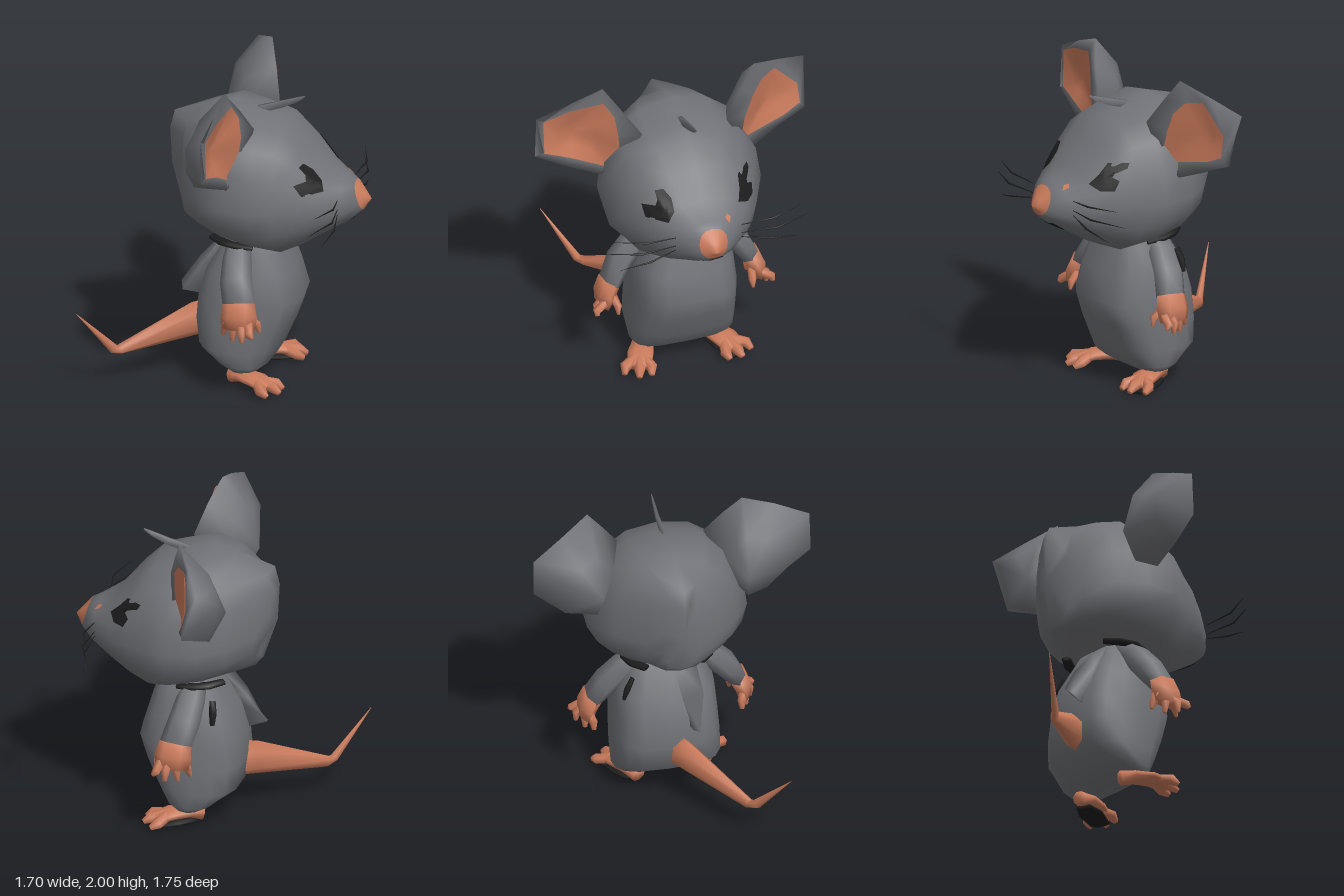
import * as THREE from 'three';

const fur = new THREE.MeshStandardMaterial({ color: 0x717277, side: THREE.DoubleSide });
const skin = new THREE.MeshStandardMaterial({ color: 0xc97a5b, side: THREE.DoubleSide });
const black = new THREE.MeshStandardMaterial({ color: 0x1d1d1d, side: THREE.DoubleSide });
fur.name = 'grey fur'; skin.name = 'pink skin'; black.name = 'black';

const lerp = (a, b, k) => a.map((v, i) => v + (b[i] - v) * k);
const average = (ring) => [0, 1, 2].map((i) => ring.reduce((sum, p) => sum + p[i], 0) / ring.length);

// Skin a list of equal-length rings; caps close the ends, winding is set outward by volume
function loft(rings, start = average(rings[0]), end = average(rings[rings.length - 1])) {
  const n = rings[0].length, m = rings.length, pts = rings.flat(), tri = [];
  for (let i = 0; i < m - 1; i++) {
    for (let j = 0; j < n; j++) {
      const a = i * n + j, b = i * n + (j + 1) % n;
      tri.push([a, b, b + n], [a, b + n, a + n]);
    }
  }
  if (start) {
    const c = pts.push(start) - 1;
    for (let j = 0; j < n; j++) tri.push([c, (j + 1) % n, j]);
  }
  if (end) {
    const c = pts.push(end) - 1, o = (m - 1) * n;
    for (let j = 0; j < n; j++) tri.push([c, o + j, o + (j + 1) % n]);
  }
  const v = pts.map((p) => new THREE.Vector3(...p));
  const mid = new THREE.Vector3(...average(pts));
  v.forEach((p) => p.sub(mid));
  const volume = tri.reduce((sum, [a, b, c]) => sum + v[a].dot(v[b].clone().cross(v[c])), 0);
  const geo = new THREE.BufferGeometry();
  geo.setAttribute('position', new THREE.Float32BufferAttribute(pts.flat(), 3));
  geo.setIndex(tri.flatMap((t) => (volume < 0 ? [t[0], t[2], t[1]] : t)));
  geo.computeVertexNormals();
  return geo;
}

// Tapered limb through points [x, y, z, side radius, up radius]
function limb(path, ref, n = 6) {
  const p = path.map((q) => new THREE.Vector3(q[0], q[1], q[2]));
  return loft(path.map((q, i) => {
    const t = p[Math.min(i + 1, p.length - 1)].clone().sub(p[Math.max(i - 1, 0)]).normalize();
    const side = t.clone().cross(new THREE.Vector3(...ref)).normalize();
    const up = side.clone().cross(t);
    return Array.from({ length: n }, (_, j) => {
      const a = ((j + 0.5) / n) * Math.PI * 2;
      return p[i].clone().addScaledVector(side, q[3] * Math.cos(a))
        .addScaledVector(up, (q[4] ?? q[3]) * Math.sin(a)).toArray();
    });
  }));
}

const power = (v, e) => Math.sign(v) * Math.abs(v) ** e;
const X = [1, 0, 0], Y = [0, 1, 0];

// Head sections: x, top, bottom, half width, height of widest point, forward tilt
const headRings = [
  [-0.31, 1.55, 1.05, 0.12, 1.3, 0], [-0.28, 1.67, 1.02, 0.22, 1.27, 0],
  [-0.15, 1.75, 0.99, 0.38, 1.25, 0], [0, 1.79, 0.94, 0.48, 1.24, 0],
  [0.2, 1.73, 0.89, 0.5, 1.23, 0], [0.33, 1.7, 0.865, 0.44, 1.22, 0],
  [0.45, 1.58, 0.92, 0.385, 1.22, 0], [0.58, 1.42, 1.0, 0.3, 1.21, 0],
  [0.71, 1.35, 1.08, 0.18, 1.22, 0.1], [0.78, 1.33, 1.15, 0.09, 1.24, 0.3],
].map(([x, top, bottom, hw, mid, tilt]) => Array.from({ length: 16 }, (_, j) => {
  const a = (j / 16) * Math.PI * 2, s = Math.sin(a);
  const y = mid + (s > 0 ? top - mid : mid - bottom) * power(s, 0.9);
  const z = hw * power(Math.cos(a), 0.85);
  // the back of the head rises to a ridge on one side of the middle
  const ridge = x < -0.2 && z < 0.01 && y > 1.2 ? 0.1 * Math.max(0, 1 + z / 0.28) : 0;
  return [x - ridge + tilt * (mid - y), y, z];
}));
const headMesh = new THREE.Mesh(loft(headRings, [-0.4, 1.32, -0.01]), fur);

// Thin painted patch, given as [z, y] points, laid on the face from the front
function facePatch(center, outline) {
  const lay = ([z, y]) => {
    const ray = new THREE.Raycaster(new THREE.Vector3(2, y, z), new THREE.Vector3(-1, 0, 0));
    return [ray.intersectObject(headMesh)[0].point.x + 0.009, y, z];
  };
  return loft([0.25, 0.5, 0.75, 1].map((k) => outline.map((p) => lay(lerp(center, p, k)))), lay(center), null);
}

// Ear outlines [x, y, z], from the inner base over the top and round the outside
const ears = {
  right: {
    rim: [[0.18, 1.7, 0.25], [0.12, 1.86, 0.36], [0.05, 2.0, 0.46], [0.04, 1.93, 0.66], [0.01, 1.84, 0.87],
      [0.015, 1.57, 0.88], [0.05, 1.47, 0.68], [0.07, 1.38, 0.48], [0.14, 1.5, 0.36]],
    inner: [[0.13, 1.7, 0.39], [0.12, 1.83, 0.41], [0.09, 1.925, 0.47], [0.05, 1.885, 0.67], [0.02, 1.82, 0.83],
      [0.025, 1.59, 0.825], [0.05, 1.54, 0.67], [0.065, 1.425, 0.43], [0.11, 1.58, 0.375]],
    cup: [0, 1.69, 0.64],
  },
  left: {
    rim: [[0.2, 1.7, 0.28], [0.15, 1.86, 0.39], [0.1, 2.0, 0.49], [0.0, 1.92, 0.68], [-0.09, 1.84, 0.87],
      [0.01, 1.53, 0.845], [0.05, 1.46, 0.66], [0.1, 1.38, 0.48], [0.18, 1.52, 0.38]],
    inner: [[0.14, 1.66, 0.42], [0.13, 1.79, 0.47], [0.09, 1.87, 0.54], [0.03, 1.89, 0.64], [-0.01, 1.71, 0.8],
      [0.015, 1.58, 0.81], [0.04, 1.53, 0.7], [0.09, 1.47, 0.45], [0.14, 1.55, 0.385]],
    cup: [0.01, 1.68, 0.62],
  },
};

export function createModel() {
  const model = new THREE.Group();
  const add = (name, geo, mat) => {
    const mesh = new THREE.Mesh(geo, mat);
    mesh.name = name;
    model.add(mesh);
  };

  // Body: y, back x, front x, half width
  add('body', loft([
    [0.1, 0.0, 0.2, 0.29], [0.14, -0.07, 0.25, 0.325], [0.24, -0.2, 0.31, 0.335],
    [0.4, -0.22, 0.38, 0.33], [0.55, -0.21, 0.43, 0.32], [0.72, -0.16, 0.38, 0.305],
    [0.88, -0.07, 0.33, 0.24], [1.0, 0.0, 0.28, 0.2],
  ].map(([y, x0, x1, hz]) => Array.from({ length: 16 }, (_, j) => {
    const a = (j / 16) * Math.PI * 2;
    return [(x0 + x1) / 2 + ((x1 - x0) / 2) * power(Math.cos(a), 0.8), y, -0.02 + hz * power(Math.sin(a), 0.6)];
  }))), fur);
  // Pointed fold of fur on the back
  add('backFold', loft([
    [[-0.04, 0.94, 0.0], [-0.04, 0.94, 0.14], [0.0, 0.9, 0.07]],
    [[-0.21, 0.75, 0.03], [-0.17, 0.75, 0.17], [-0.05, 0.75, 0.08]],
    [[-0.32, 0.59, 0.07], [-0.3, 0.55, 0.12], [-0.17, 0.52, 0.08]],
  ]), fur);

  // Head, nose, eyes, mouth, tuft
  add('head', headMesh.geometry, fur);
  const noseBase = headRings[headRings.length - 1];
  add('nose', loft([noseBase, noseBase.map((p) => lerp(p, [0.85, 1.22, 0], 0.6))], null, [0.85, 1.22, 0]), skin);
  add('rightEye', facePatch([0.225, 1.39], [[0.27, 1.485], [0.22, 1.495], [0.185, 1.45], [0.185, 1.385],
    [0.23, 1.33], [0.34, 1.325], [0.35, 1.395], [0.28, 1.405], [0.265, 1.44]]), black);
  add('leftEye', facePatch([-0.285, 1.4], [[-0.26, 1.485], [-0.35, 1.49], [-0.355, 1.46], [-0.32, 1.45],
    [-0.317, 1.41], [-0.355, 1.39], [-0.35, 1.33], [-0.295, 1.33], [-0.225, 1.365], [-0.25, 1.42]]), black);
  add('mouth', facePatch([-0.02, 1.06], [[0.04, 1.105], [-0.02, 1.09], [-0.08, 1.105], [-0.075, 1.05],
    [-0.02, 1.02], [0.02, 1.035], [0.045, 1.075]]), black);
  add('snoutSpot', facePatch([-0.12, 1.335], [[-0.105, 1.345], [-0.125, 1.355], [-0.145, 1.335], [-0.125, 1.318]]), skin);
  add('tuft', limb([[0.12, 1.72, 0, 0.02, 0.03], [0.28, 1.77, -0.01, 0.012, 0.03],
    [0.38, 1.81, -0.01, 0.008, 0.02], [0.43, 1.835, -0.01, 0.003, 0.006]], Y, 4), fur);

  // Tail
  add('tail', limb([[-0.14, 0.35, 0.0, 0.08, 0.12], [-0.24, 0.34, 0.05, 0.065, 0.11],
    [-0.63, 0.215, 0.34, 0.028, 0.035], [-0.66, 0.225, 0.38, 0.024, 0.03],
    [-0.85, 0.5, 0.55, 0.002, 0.002]], Y), skin);

  for (const side of [1, -1]) {
    const label = side > 0 ? 'right' : 'left';
    const m = (list) => list.map(([x, y, z, ...r]) => [x, y, z * side, ...r]);

    // Cupped ear: back, rim and inner skin
    const rim = m(ears[label].rim), inner = m(ears[label].inner);
    const [cup, back] = m([ears[label].cup, [-0.18, 1.55, 0.45]]);
    const bulge = rim.map((p) => lerp(p, back, 0.42)).map(([x, y, z]) => [x - 0.06, y < 1.55 ? y - 0.08 : y, z]);
    add(label + 'Ear', loft([bulge, rim, inner], back, cup), fur);
    const raise = ([x, y, z]) => [x + 0.007, y, z];
    add(label + 'InnerEar', loft([inner.map(raise), inner.map((p) => raise(lerp(p, cup, 0.5)))], null, raise(cup)), skin);

    // Arm, hand and fingers
    add(label + 'Arm', limb(m([[0.07, 0.95, 0.17, 0.05, 0.07], [0.08, 0.85, 0.27, 0.08, 0.09],
      [0.1, 0.74, 0.37, 0.08, 0.1], [0.14, 0.61, 0.45, 0.06, 0.1]]), X), fur);
    add(label + 'Hand', limb(m([[0.135, 0.63, 0.445, 0.065, 0.1], [0.145, 0.55, 0.48, 0.06, 0.115],
      [0.145, 0.48, 0.49, 0.045, 0.1]]), X), skin);
    [[0.07, 0.04, 0.43, 0.46], [0.12, 0.11, 0.41, 0.5], [0.17, 0.18, 0.42, 0.54], [0.21, 0.25, 0.46, 0.56]]
      .forEach(([x0, x1, y, z], i) => add(label + 'Finger' + (i + 1),
        limb(m([[x0, 0.53, 0.48, 0.03], [(x0 + x1) / 2, 0.48, z, 0.027], [x1, y, z, 0.014]]), X, 5), skin));
    add(label + 'Thumb', limb(m([[0.17, 0.56, 0.45, 0.03], [0.25, 0.5, 0.43, 0.025], [0.26, 0.45, 0.43, 0.01]]), X, 5), skin);
    // Dark creases under the neck
    add(label + 'NeckCrease', limb(m([[-0.1, 0.94, 0.17, 0.03, 0.016], [-0.02, 0.935, 0.235, 0.035, 0.022],
      [0.07, 0.932, 0.262, 0.035, 0.022], [0.17, 0.92, 0.25, 0.025, 0.016]]), Y, 6), black);

    // Arched foot and toes
    add(label + 'Foot', limb(m([[0.02, 0.055, 0.19, 0.045, 0.045], [0.1, 0.075, 0.22, 0.07, 0.04],
      [0.2, 0.072, 0.27, 0.085, 0.034], [0.29, 0.045, 0.31, 0.075, 0.03]]), Y, 8), skin);
    [[0.36, 0.25], [0.36, 0.33], [0.3, 0.405]].forEach(([x, z], i) => add(label + 'Toe' + (i + 1),
      limb(m([[0.2, 0.075, 0.27, 0.04, 0.028], [x - 0.04, 0.045, z - 0.015, 0.035, 0.035],
        [x, 0.022, z, 0.018, 0.018]]), Y, 6), skin));

    // Whiskers
    [[1.27, 1.3, 0.6, 0.65], [1.21, 1.21, 0.66, 0.63], [1.18, 1.1, 0.56, 0.68]].forEach(([y0, y1, z, x], i) =>
      add(label + 'Whisker' + (i + 1), limb(m([[0.69, y0, 0.21, 0.002], [0.715, (y0 + y1) / 2 + 0.005, (0.2 + z) / 2, 0.006],
        [x, y1, z, 0.001]]), Y, 4), black));
  }

  // Dark sole and dark crease behind the arm, on one side only
  add('leftSole', limb([[0.07, 0.02, -0.21, 0.05, 0.018], [0.17, 0.022, -0.26, 0.08, 0.02],
    [0.31, 0.014, -0.33, 0.065, 0.014]], Y, 8), black);
  add('leftArmCrease', limb([[-0.05, 0.84, -0.245, 0.015, 0.02], [-0.06, 0.77, -0.28, 0.02, 0.025],
    [-0.06, 0.7, -0.3, 0.01, 0.015]], X, 5), black);
  return model;
}
